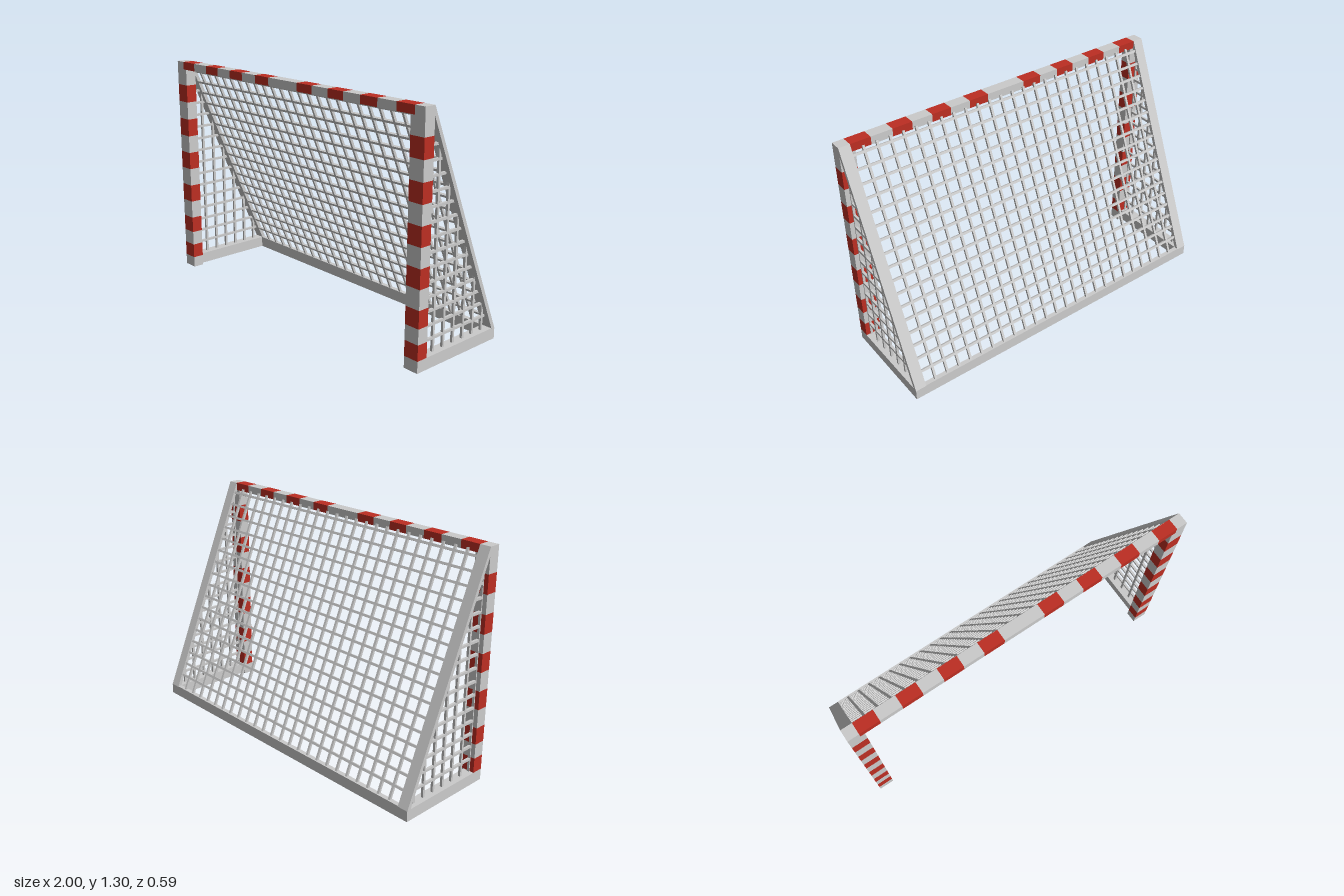
import * as THREE from 'three';

const H = 1.3, FRONT = 0.295, POST_BACK = 0.23, REAR = -0.295;
const RAIL = 0.064, BAR_Y = 1.255, POST_IN = 0.912, SIDE_IN = 0.937;
const CELL = 0.0751, CORD = 0.0135;

export function createModel() {
  const goal = new THREE.Group();
  goal.name = 'goal';
  const grey = new THREE.MeshStandardMaterial({ color: 0xcccccc });
  const red = new THREE.MeshStandardMaterial({ color: 0xbd2e23 });

  const group = (name) => {
    const g = new THREE.Group();
    g.name = name;
    goal.add(g);
    return g;
  };
  // Box given by its minimum and maximum along each axis
  const box = (parent, name, x0, x1, y0, y1, z0, z1, mat = grey) => {
    const m = new THREE.Mesh(new THREE.BoxGeometry(x1 - x0, y1 - y0, z1 - z0), mat);
    m.position.set((x0 + x1) / 2, (y0 + y1) / 2, (z0 + z1) / 2);
    m.name = name;
    parent.add(m);
    return m;
  };
  // Splits a length into alternating grey and red pieces
  const striped = (start, end, bands, add) => {
    let at = start;
    for (const [a, b] of bands) {
      add(at, a, grey);
      add(a, b, red);
      at = b;
    }
    add(at, end, grey);
  };

  // Crossbar with four red bands on each half
  const half = [[0.118, 0.235], [0.353, 0.467], [0.586, 0.7], [0.823, 0.937]];
  const barBands = [...half.map(([a, b]) => [-b, -a]).reverse(), ...half];
  const crossbar = group('crossbar');
  striped(-1, 1, barBands, (a, b, mat) =>
    box(crossbar, 'crossbarSegment', a, b, BAR_Y, H, POST_BACK, FRONT, mat));

  // Side frame profile in z and y: bottom rail and slanted stay
  const profile = new THREE.Shape([
    [POST_BACK, 0], [POST_BACK, RAIL], [-0.27, RAIL], [POST_BACK, 1.25],
    [POST_BACK, H], [REAR, 0.06], [REAR, 0],
  ].map(([z, y]) => new THREE.Vector2(z, y)));
  const frameGeo = new THREE.ExtrudeGeometry(profile, { depth: 1 - SIDE_IN, bevelEnabled: false });
  frameGeo.rotateY(-Math.PI / 2);

  // Centre line of the slanted stay
  const slope = (H - 0.06) / (POST_BACK - REAR);
  const stayZ = (y) => REAR + 0.0135 + (y - 0.06) / slope;
  const stayY = (z) => 0.06 + (z - REAR - 0.0135) * slope;

  const postBands = [[0.064, 0.149], [0.232, 0.327], [0.432, 0.536],
    [0.641, 0.744], [0.848, 0.952], [1.057, 1.16]];

  for (const s of [-1, 1]) {
    const side = s > 0 ? 'left' : 'right';

    const post = group(side + 'Post');
    const [x0, x1] = s > 0 ? [POST_IN, 1] : [-1, -POST_IN];
    striped(0, BAR_Y, postBands, (a, b, mat) =>
      box(post, 'postSegment', x0, x1, a, b, POST_BACK, FRONT, mat));

    const frame = new THREE.Mesh(frameGeo, grey);
    frame.name = side + 'SideFrame';
    frame.position.x = s > 0 ? 1 : -SIDE_IN;
    goal.add(frame);

    // Side net, each cord cut off at the stay
    const net = group(side + 'SideNet');
    const c = CORD / 2, x = s * (1 + SIDE_IN) / 2;
    for (let z = POST_BACK; z > -0.25; z -= 0.0745) {
      box(net, 'uprightCord', x - c, x + c, RAIL / 2, Math.min(stayY(z), 1.255), z - c, z + c);
    }
    for (let i = 0; i < 15; i++) {
      const y = 0.1375 + i * 0.0749;
      box(net, 'levelCord', x - c, x + c, y - c, y + c, stayZ(y), POST_BACK + 0.005);
    }
  }

  // Rear ground rail
  box(goal, 'rearRail', -SIDE_IN, SIDE_IN, 0, RAIL, REAR, -0.268);

  // Back net, built upright and then leaned onto the stays
  const backNet = group('backNet');
  const length = Math.hypot(BAR_Y - 0.05, (BAR_Y - 0.05) / slope);
  const c = CORD / 2;
  for (let i = 0; i < 24; i++) {
    const x = -0.87 + i * 1.74 / 23;
    box(backNet, 'risingCord', x - c, x + c, 0, length + 0.015, -c, c);
  }
  for (let i = 0; i < 17; i++) {
    const t = 0.0905 + i * CELL;
    box(backNet, 'crossCord', -0.945, 0.945, t - c, t + c, -c, c);
  }
  backNet.position.set(0, 0.05, stayZ(0.05));
  backNet.rotation.x = Math.atan(1 / slope);

  return goal;
}
